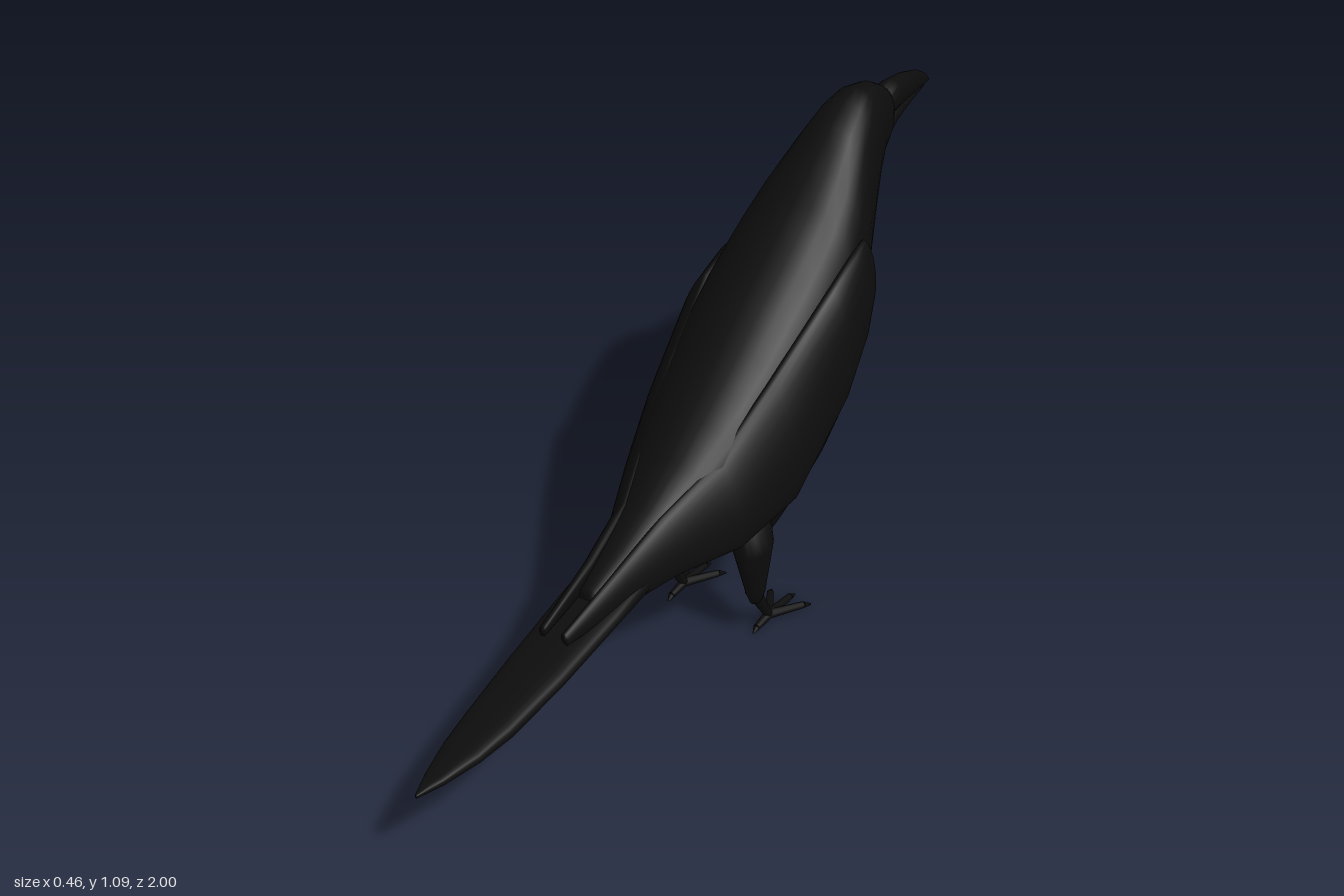
import * as THREE from 'three';

const black = new THREE.MeshStandardMaterial({ color: 0x0c0c0c });
black.name = 'black plumage';

// Skin elliptical sections that follow one another towards +z.
// Section: z, cx, cy, rx, ry, tilt; power below 1 makes the ellipse boxier.
function loft(name, sections, power = 1, sides = 24) {
  const pos = [], index = [];
  const bulge = v => Math.sign(v) * Math.abs(v) ** power;
  for (const { z, cx = 0, cy, rx, ry, tilt = 0 } of sections) {
    for (let j = 0; j < sides; j++) {
      const a = (j / sides) * Math.PI * 2;
      const u = rx * bulge(Math.cos(a)), v = ry * bulge(Math.sin(a));
      pos.push(cx + u * Math.cos(tilt) - v * Math.sin(tilt), cy + u * Math.sin(tilt) + v * Math.cos(tilt), z);
    }
  }
  const last = sections.length - 1, first = pos.length / 3;
  for (const s of [sections[0], sections[last]]) pos.push(s.cx ?? 0, s.cy, s.z);
  for (let j = 0; j < sides; j++) {
    const k = (j + 1) % sides;
    for (let i = 0; i < last; i++) {
      const p = i * sides, q = p + sides;
      index.push(p + j, p + k, q + j, p + k, q + k, q + j);
    }
    index.push(first, k, j, first + 1, last * sides + j, last * sides + k);
  }
  const geo = new THREE.BufferGeometry();
  geo.setAttribute('position', new THREE.Float32BufferAttribute(pos, 3));
  geo.setIndex(index);
  geo.computeVertexNormals();
  const mesh = new THREE.Mesh(geo, black);
  mesh.name = name;
  return mesh;
}

// Section from z, top, bottom and half width
const span = ([z, top, bottom, rx]) => ({ z, cy: (top + bottom) / 2, ry: (top - bottom) / 2, rx });

// Tapered round limb between two points
function limb(name, a, b, ra, rb) {
  const from = new THREE.Vector3(...a), to = new THREE.Vector3(...b);
  const dir = to.clone().sub(from);
  const mesh = new THREE.Mesh(new THREE.CylinderGeometry(rb, ra, dir.length(), 10), black);
  mesh.position.copy(from).add(to).multiplyScalar(0.5);
  mesh.quaternion.setFromUnitVectors(new THREE.Vector3(0, 1, 0), dir.normalize());
  mesh.name = name;
  return mesh;
}

function wing(side) {
  // The left shoulder is held a little higher than the right
  const raise = side > 0 ? 0.05 : -0.01, lean = side > 0 ? 0.12 : 0.3;
  const sections = [
    [-0.48, 0.145, 0.73, 0.012, 0.04], [-0.45, 0.16, 0.72, 0.024, 0.08],
    [-0.38, 0.178, 0.69, 0.032, 0.11], [-0.28, 0.185, 0.63, 0.034, 0.135],
    [-0.1, 0.16, 0.5, 0.032, 0.14], [0.05, 0.12, 0.42, 0.028, 0.105],
    [0.2, 0.066, 0.378, 0.022, 0.07], [0.35, 0.045, 0.35, 0.016, 0.042],
    [0.53, 0.028, 0.322, 0.01, 0.014]
  ].map(([z, cx, cy, rx, ry]) => {
    const front = THREE.MathUtils.clamp((0 - z) / 0.35, 0, 1);
    return { z, cx: side * cx, cy: cy + raise * front, rx, ry, tilt: side * (0.3 + (lean - 0.3) * front) };
  });
  return loft(side > 0 ? 'leftWing' : 'rightWing', sections);
}

function leg(side) {
  const g = new THREE.Group();
  g.name = side > 0 ? 'leftLeg' : 'rightLeg';
  const x = side * 0.115, ankle = [x, 0.018, -0.135];

  // Feathered thigh, narrowing to the knee
  const profile = [[0, 0], [0.018, 0.004], [0.027, 0.03], [0.04, 0.09], [0.055, 0.16], [0.05, 0.22], [0, 0.25]];
  const thigh = new THREE.Mesh(new THREE.LatheGeometry(profile.map(p => new THREE.Vector2(...p)), 16), black);
  thigh.position.set(side * 0.127, 0.105, -0.06);
  thigh.rotation.x = 0.1;
  thigh.scale.x = 0.75;
  thigh.name = 'thigh';
  g.add(thigh, limb('shin', [x, 0.13, -0.06], ankle, 0.017, 0.01));

  // Three front toes and one back toe, each with a claw
  for (const [dx, dz] of [[-0.045, -0.08], [0, -0.09], [0.042, -0.08], [0, 0.052]]) {
    const tip = [x + dx, 0.012, ankle[2] + dz];
    g.add(limb('toe', ankle, tip, 0.011, 0.008));
    g.add(limb('claw', tip, [x + dx * 1.2, 0.004, ankle[2] + dz * 1.27], 0.008, 0.002));
  }
  return g;
}

export function createModel() {
  const bird = new THREE.Group();
  bird.name = 'bird';

  // Head, neck, breast and rump
  bird.add(loft('body', [
    [-0.79, 1.04, 0.935, 0.03], [-0.765, 1.06, 0.915, 0.042], [-0.72, 1.085, 0.88, 0.053],
    [-0.66, 1.095, 0.81, 0.075], [-0.61, 1.082, 0.715, 0.094], [-0.55, 1.043, 0.605, 0.118],
    [-0.47, 0.975, 0.475, 0.155], [-0.4, 0.918, 0.385, 0.175], [-0.36, 0.888, 0.34, 0.181],
    [-0.28, 0.83, 0.288, 0.186], [-0.2, 0.772, 0.245, 0.183], [-0.12, 0.705, 0.205, 0.175],
    [-0.05, 0.645, 0.225, 0.16], [0.02, 0.588, 0.272, 0.14], [0.1, 0.52, 0.287, 0.11],
    [0.2, 0.455, 0.294, 0.075], [0.3, 0.405, 0.3, 0.055], [0.4, 0.36, 0.3, 0.03]
  ].map(span), 0.86, 32));

  // Beak halves
  bird.add(loft('upperBeak', [
    [-1, 0.987, 0.98, 0.003], [-0.98, 1.006, 0.978, 0.007], [-0.94, 1.029, 0.977, 0.013],
    [-0.88, 1.046, 0.977, 0.021], [-0.82, 1.052, 0.975, 0.029], [-0.75, 1.05, 0.96, 0.036]
  ].map(span), 0.9, 16));
  bird.add(loft('lowerBeak', [
    [-0.975, 0.984, 0.974, 0.004], [-0.9, 0.99, 0.963, 0.015], [-0.82, 0.99, 0.945, 0.025],
    [-0.75, 0.98, 0.91, 0.034]
  ].map(span), 0.9, 16));

  // Flat tail, tapering to a point
  bird.add(loft('tail', [
    [0.24, 0.365, 0.318, 0.078], [0.4, 0.33, 0.293, 0.077], [0.6, 0.288, 0.25, 0.07],
    [0.76, 0.259, 0.22, 0.058], [0.85, 0.245, 0.215, 0.046], [0.94, 0.234, 0.213, 0.024],
    [1, 0.225, 0.216, 0.003]
  ].map(span), 0.65));

  for (const side of [1, -1]) bird.add(wing(side), leg(side));
  return bird;
}
